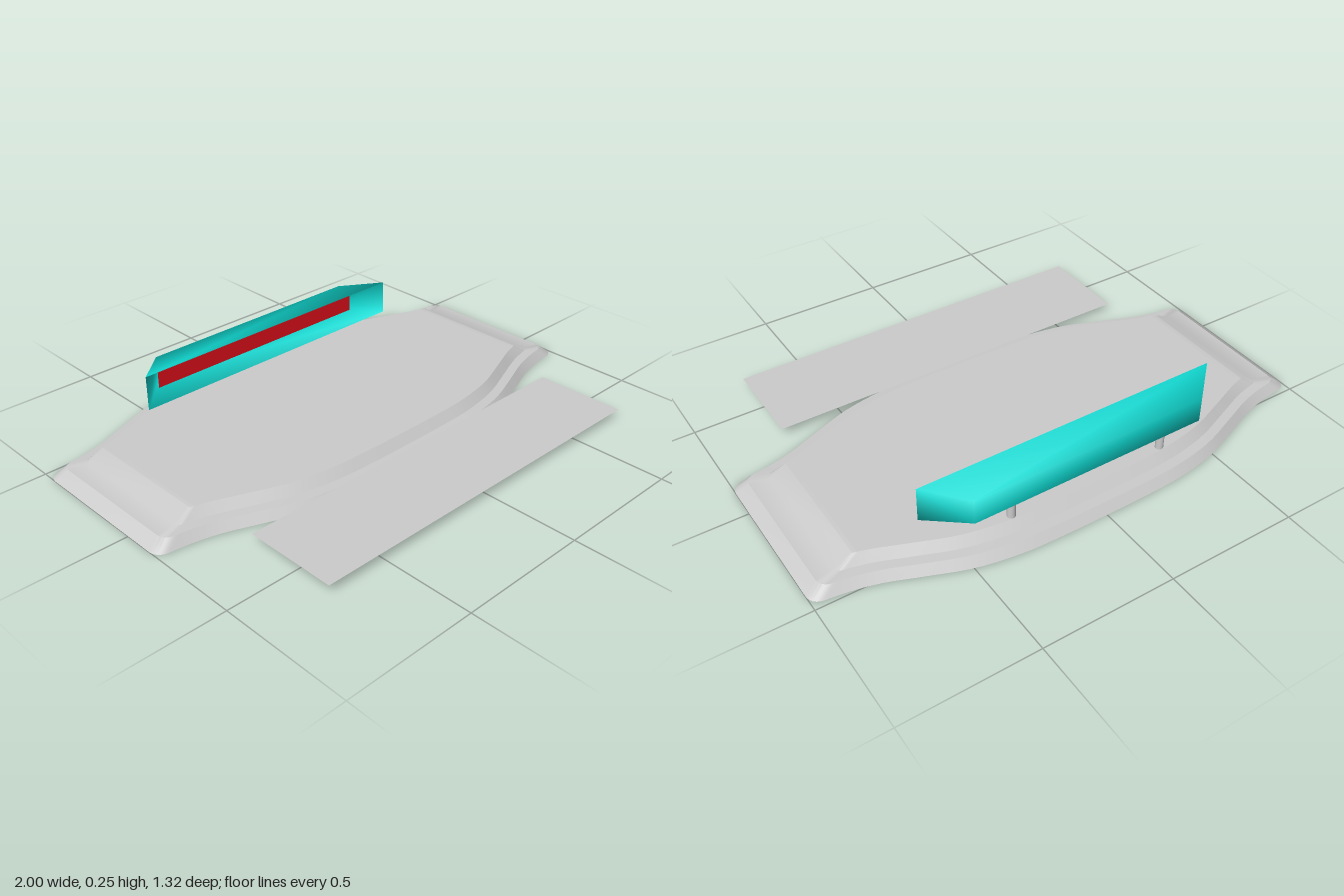
import * as THREE from 'three';
import { toCreasedNormals } from 'three/addons/utils/BufferGeometryUtils.js';

const grey = new THREE.MeshStandardMaterial({ color: 0xcccccc });
const greyThin = new THREE.MeshStandardMaterial({ color: 0xcccccc, side: THREE.DoubleSide });
const cyan = new THREE.MeshStandardMaterial({ color: 0x10e0d8, side: THREE.DoubleSide });
const red = new THREE.MeshStandardMaterial({ color: 0xe8101c, side: THREE.DoubleSide });

// Skin equal-length counter-clockwise rings; caps bridge each point to its mirror partner
function loft(rings, crease, capEnd) {
  const count = rings[0].length, index = [];
  const quad = (a, b, c, d) => index.push(a, b, c, a, c, d);
  for (let r = 0; r < rings.length - 1; r++) {
    for (let i = 0; i < count; i++) {
      const j = (i + 1) % count, a = r * count, b = a + count;
      quad(a + i, a + j, b + j, b + i);
    }
  }
  const end = (rings.length - 1) * count;
  for (let i = 0; i < count / 2 - 1; i++) {
    const p = count - 1 - i;
    quad(p, p - 1, i + 1, i);
    if (capEnd) quad(end + i, end + i + 1, end + p - 1, end + p);
  }
  const geometry = new THREE.BufferGeometry();
  geometry.setAttribute('position', new THREE.Float32BufferAttribute(rings.flat(2), 3));
  geometry.setIndex(index);
  return toCreasedNormals(geometry, crease);
}

// Half depth of the platform along its length: [x, half depth]
const outline = [[0, 0.5], [0.2, 0.498], [0.34, 0.49], [0.5, 0.46], [0.66, 0.4],
  [0.77, 0.357], [0.87, 0.332], [1, 0.315]];

function halfDepth(x) {
  const u = Math.abs(x);
  let k = 0;
  while (k < outline.length - 2 && u > outline[k + 1][0]) k++;
  const slope = i => {
    if (i === 0) return 0;
    const p = outline[i - 1], q = outline[Math.min(i + 1, outline.length - 1)];
    return (q[1] - p[1]) / (q[0] - p[0]);
  };
  const [x0, y0] = outline[k], [x1, y1] = outline[k + 1];
  const h = x1 - x0, t = (u - x0) / h, t2 = t * t, t3 = t2 * t;
  return (2 * t3 - 3 * t2 + 1) * y0 + (t3 - 2 * t2 + t) * h * slope(k)
    + (3 * t2 - 2 * t3) * y1 + (t3 - t2) * h * slope(k + 1);
}

// One level of the platform: half length, height, inset and corner radius
function platformRing([length, y, inset, radius]) {
  const n = 64, centre = -0.16, front = [];
  for (let i = 0; i <= n; i++) {
    const x = length * Math.sin((i / n - 0.5) * Math.PI);
    const over = Math.max(0, Math.abs(x) - length + radius);
    const corner = radius - Math.sqrt(Math.max(0, radius * radius - over * over));
    front.push([x, y, halfDepth(x) - inset - corner]);
  }
  const back = front.map(([x, , z]) => [x, y, centre - z]).reverse();
  return [...front.map(([x, , z]) => [x, y, centre + z]), ...back];
}

function rectangleRing(halfWidth, bottom, top, z) {
  return [[-halfWidth, bottom, z], [halfWidth, bottom, z], [halfWidth, top, z], [-halfWidth, top, z]];
}

export function createModel() {
  const model = new THREE.Group();
  const add = (name, geometry, material, x = 0, y = 0, z = 0) => {
    const mesh = new THREE.Mesh(geometry, material);
    mesh.name = name;
    mesh.position.set(x, y, z);
    model.add(mesh);
    return mesh;
  };

  // Stepped platform with bevelled edges
  const levels = [[1, 0, 0, 0.04], [0.955, 0.034, 0.026, 0.035],
    [0.885, 0.036, 0.063, 0.02], [0.826, 0.07, 0.092, 0.008]];
  add('platform', loft(levels.map(platformRing), 0.6, true), grey);

  // Thin sheet in front of the platform
  add('frontSheet', new THREE.PlaneGeometry(1.48, 0.354), greyThin, 0, 0.036, 0.479)
    .rotation.x = -Math.PI / 2;

  // Tapered light housing, open at the front
  add('lightHousing', loft([
    rectangleRing(0.463, 0.137, 0.235, -0.57),
    rectangleRing(0.598, 0.118, 0.252, -0.44),
  ], Math.PI, false), cyan);
  add('lightPanel', new THREE.PlaneGeometry(0.976, 0.107), red, 0, 0.185, -0.53);

  // Posts carrying the housing
  for (const side of [-1, 1]) {
    add(side < 0 ? 'rightPost' : 'leftPost',
      new THREE.CylinderGeometry(0.015, 0.015, 0.075, 20), grey, side * 0.31, 0.1, -0.545);
  }
  return model;
}
